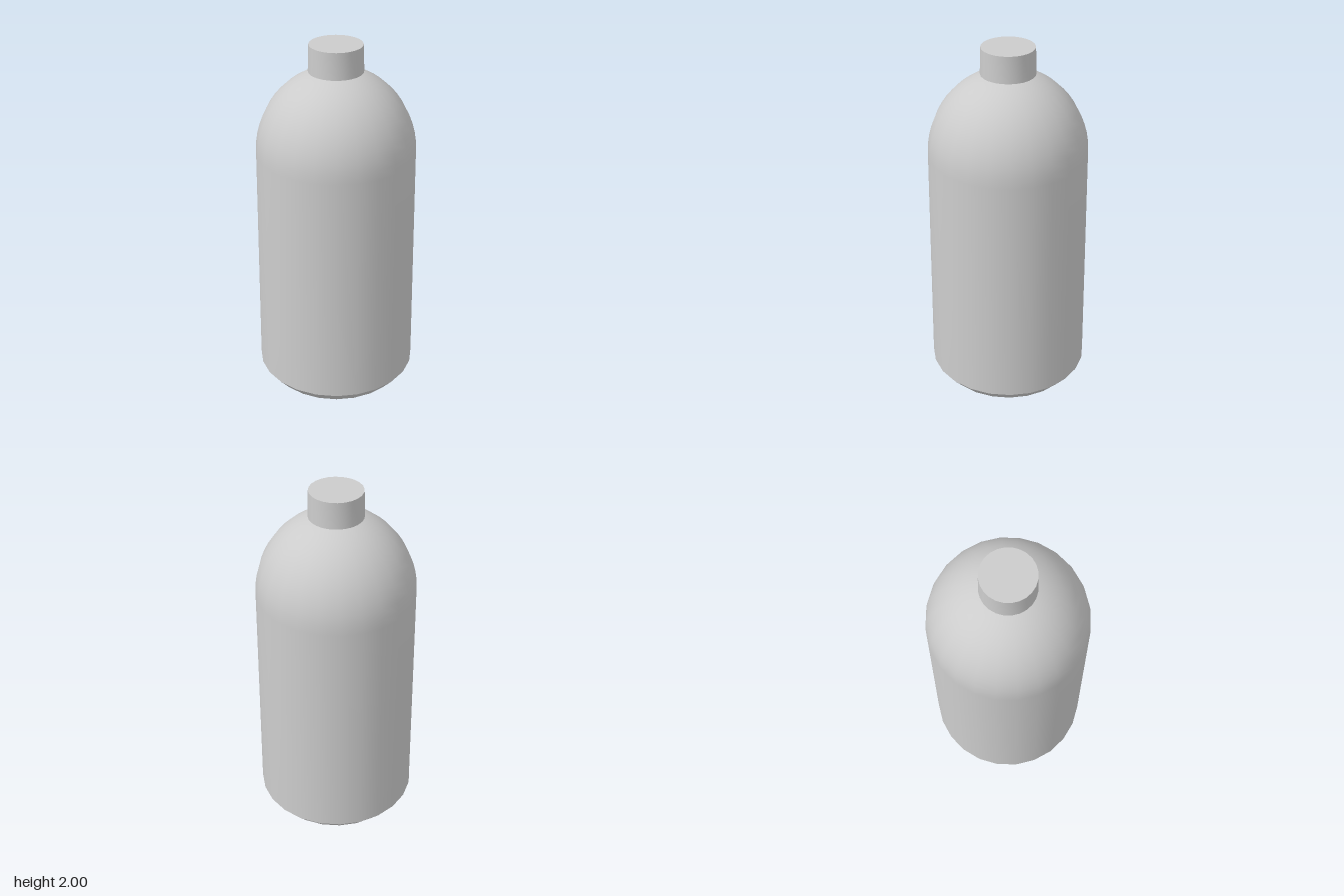
import * as THREE from 'three';
import { toCreasedNormals } from 'three/addons/utils/BufferGeometryUtils.js';

const SIDES = 24;

// Turned part from [radius, height] pairs listed from bottom to top
function turned(name, profile, material) {
  const points = profile.map(([r, y]) => new THREE.Vector2(r, y));
  const geometry = toCreasedNormals(new THREE.LatheGeometry(points, SIDES), Math.PI / 6);
  const mesh = new THREE.Mesh(geometry, material);
  mesh.name = name;
  return mesh;
}

export function createModel() {
  const material = new THREE.MeshStandardMaterial({ color: 0xcccccc });
  const bottle = new THREE.Group();
  bottle.name = 'bottle';

  // Body: flat base, chamfered foot, slightly tapered wall, elliptical shoulder
  const body = [[0, 0], [0.39, 0], [0.45, 0.07], [0.435, 1.4]];
  const steps = 14;
  for (let i = 1; i <= steps; i++) {
    const a = (i / steps) * Math.PI / 2;
    body.push([i === steps ? 0 : 0.435 * Math.cos(a), 1.4 + 0.466 * Math.sin(a)]);
  }
  bottle.add(turned('body', body, material));

  // Cap: plain drum, a little wider at its lower rim
  bottle.add(turned('cap', [[0, 1.853], [0.148, 1.853], [0.144, 2], [0, 2]], material));

  return bottle;
}
